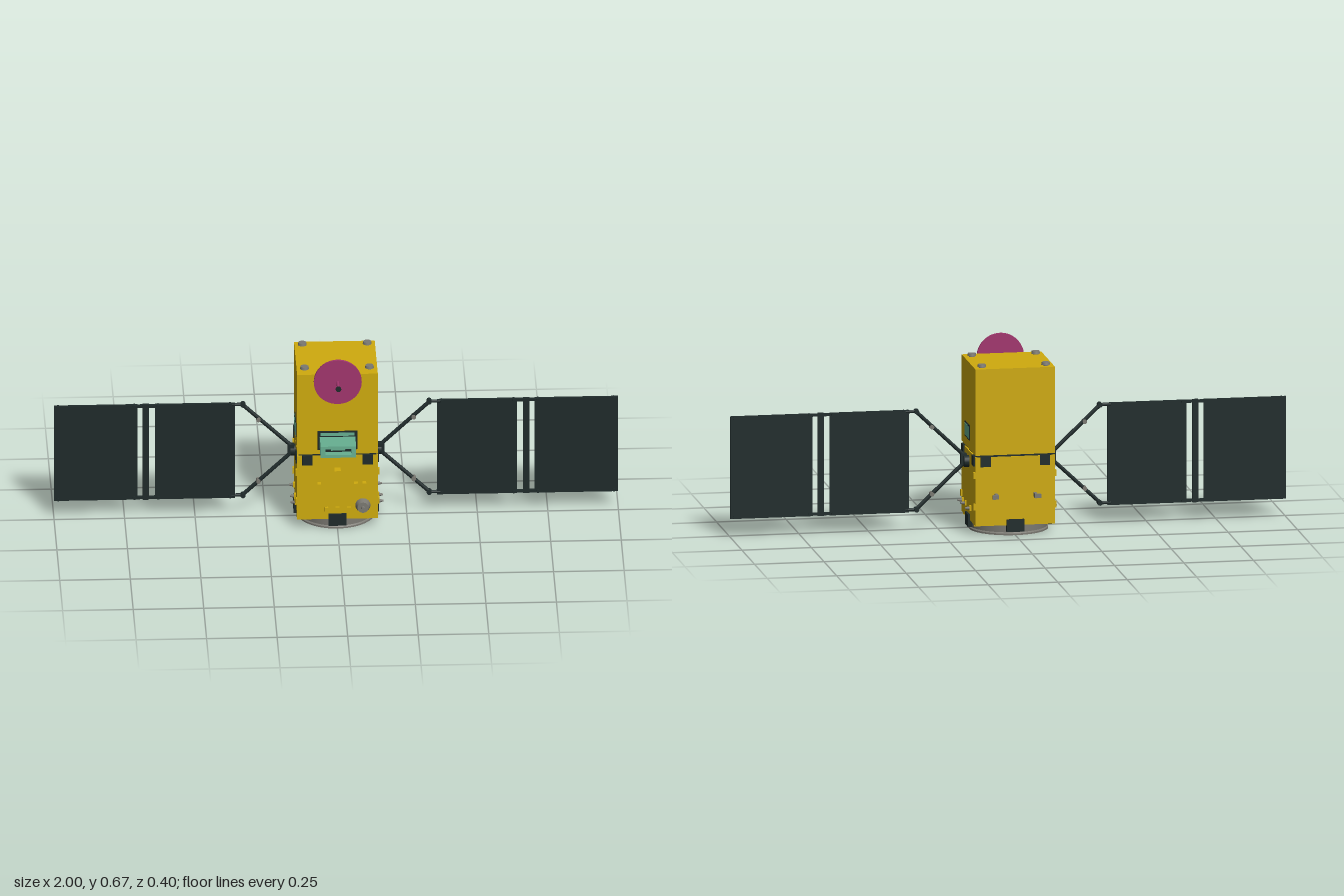
import * as THREE from 'three';

const mat = (name, color, side = THREE.FrontSide) => {
  const m = new THREE.MeshStandardMaterial({ color, side });
  m.name = name;
  return m;
};

export function createModel() {
  const root = new THREE.Group();
  root.name = 'satellite';
  const gold = mat('gold foil', 0xcfab0e);
  const dark = mat('dark panel', 0x1f2b2b);
  const pink = mat('magenta', 0xa2366e);
  const teal = mat('teal', 0x67b092);
  const gray = mat('gray metal', 0x7b7972, THREE.DoubleSide);
  const CZ = -0.026, HX = 0.143, HZ = 0.136, FRONT = CZ + HZ, BACK = CZ - HZ;

  const add = (name, geo, m, x = 0, y = 0, z = 0, parent = root) => {
    const mesh = new THREE.Mesh(geo, m);
    mesh.name = name;
    mesh.position.set(x, y, z);
    parent.add(mesh);
    return mesh;
  };
  const box = (name, m, w, h, d, x, y, z, parent) =>
    add(name, new THREE.BoxGeometry(w, h, d), m, x, y, z, parent);
  // cylinder along z, r1 at its +z end
  const cylZ = (name, m, r1, r2, len, x, y, z, parent) => {
    const g = new THREE.CylinderGeometry(r1, r2, len, 24).rotateX(Math.PI / 2);
    return add(name, g, m, x, y, z, parent);
  };
  // round bar between two points
  const bar = (name, m, a, b, r, parent) => {
    const A = new THREE.Vector3(...a), B = new THREE.Vector3(...b);
    const g = new THREE.CylinderGeometry(r, r, A.distanceTo(B), 10);
    const mesh = add(name, g, m, 0, 0, 0, parent);
    mesh.position.copy(A).add(B).multiplyScalar(0.5);
    mesh.quaternion.setFromUnitVectors(new THREE.Vector3(0, 1, 0), B.sub(A).normalize());
    return mesh;
  };

  // Body: two stacked foil boxes with a dark seam
  box('lowerBody', gold, HX * 2, 0.248, HZ * 2, 0, 0.16, CZ);
  box('bodySeam', dark, HX * 2 - 0.01, 0.012, HZ * 2 - 0.01, 0, 0.287, CZ);
  box('upperBody', gold, HX * 2, 0.312, HZ * 2, 0, 0.447, CZ);

  // Launch ring and engine dome underneath
  const ring = [[0.118, 0.037], [0.118, 0.008], [0.124, 0], [0.141, 0], [0.141, 0.006], [0.137, 0.01], [0.137, 0.037]];
  for (let i = 0; i < ring.length - 1; i++) {
    const pts = [ring[i], ring[i + 1]].map(p => new THREE.Vector2(...p));
    add('launchRing', new THREE.LatheGeometry(pts, 48), gray, 0, 0, CZ);
  }
  const dome = new THREE.SphereGeometry(0.07, 32, 10, 0, Math.PI * 2, Math.PI / 2, Math.PI / 2).scale(1, 0.35, 1);
  add('engineDome', dome, gray, 0, 0.036, CZ);

  // Corner feet on the roof
  for (const x of [-0.115, 0.115]) for (const z of [-0.132, 0.065]) {
    add('roofFootStem', new THREE.CylinderGeometry(0.01, 0.01, 0.006, 20), gray, x, 0.605, z);
    add('roofFoot', new THREE.CylinderGeometry(0.014, 0.016, 0.009, 20), gray, x, 0.611, z);
  }

  // Dish antenna
  cylZ('dishMount', dark, 0.006, 0.006, 0.026, 0, 0.585, 0.12);
  cylZ('dish', pink, 0.085, 0.085, 0.009, 0, 0.585, 0.134).geometry =
    new THREE.CylinderGeometry(0.085, 0.085, 0.009, 48).rotateX(Math.PI / 2);
  cylZ('feedRod', pink, 0.005, 0.005, 0.062, 0, 0.585, 0.167);
  cylZ('feedTip', dark, 0.01, 0.01, 0.006, 0, 0.585, 0.196);

  // Front instrument: dark recess and an open teal hood
  box('instrumentRecess', dark, 0.14, 0.072, 0.004, 0, 0.345, FRONT + 0.001);
  box('instrumentPlate', teal, 0.12, 0.012, 0.004, 0, 0.369, FRONT + 0.002);
  const hood = new THREE.Shape();
  hood.moveTo(-0.063, -0.022).lineTo(0.063, -0.022).lineTo(0.063, 0.022).lineTo(-0.063, 0.022).closePath();
  const slot = new THREE.Path();
  slot.moveTo(-0.046, -0.011).lineTo(-0.046, 0.011).lineTo(0.046, 0.011).lineTo(0.046, -0.011).closePath();
  hood.holes.push(slot);
  add('instrumentHood', new THREE.ExtrudeGeometry(hood, { depth: 0.083, bevelEnabled: false }), teal, 0, 0.337, FRONT);
  box('hoodInterior', dark, 0.092, 0.022, 0.004, 0, 0.337, 0.165);
  box('hoodLens', teal, 0.05, 0.009, 0.006, 0, 0.337, 0.168);

  // Lower front fittings
  box('frontSensor', gold, 0.022, 0.011, 0.029, 0, 0.231, FRONT + 0.0145);
  for (const x of [-0.065, 0.065, 0.095]) box('frontBlock', gold, 0.013, 0.02, 0.021, x, 0.172, FRONT + 0.01);
  for (const x of [-0.04, 0, 0.04]) box('frontClip', gold, 0.014, 0.018, 0.01, x, 0.075, FRONT + 0.004);
  cylZ('thrusterBase', gray, 0.02, 0.027, 0.022, 0.09, 0.088, FRONT + 0.011);
  cylZ('thrusterTip', gray, 0.007, 0.007, 0.014, 0.09, 0.088, FRONT + 0.028);

  // Rear hooks
  for (const s of [-1, 1]) {
    box('rearHookArm', gray, 0.01, 0.015, 0.036, s * 0.07, 0.145, BACK - 0.018);
    box('rearHookTip', gray, 0.02, 0.015, 0.008, s * 0.077, 0.145, BACK - 0.033);
  }

  // Dark brackets on the front and back
  for (const z of [FRONT, BACK]) {
    for (const x of [-0.107, 0.107]) box('seamBracket', dark, 0.036, 0.036, 0.01, x, 0.268, z);
    box('baseBracket', dark, 0.064, 0.045, 0.016, 0, 0.035, z);
  }

  // One side with its wing; the other is turned half round
  const HINGE_Z = -0.019;
  for (const s of [-1, 1]) {
    const side = new THREE.Group();
    side.name = s > 0 ? 'leftSide' : 'rightSide';
    root.add(side);
    const X = s * HX;

    // Side window
    box('windowFrame', dark, 0.006, 0.054, 0.096, X, 0.352, -0.01, side);
    box('window', teal, 0.008, 0.044, 0.085, X, 0.352, -0.01, side);

    // Side fittings
    for (const z of [0.078, -0.13]) {
      box('seamBracket', dark, 0.01, 0.036, 0.036, X, 0.268, z, side);
      box('ringTab', gold, 0.012, 0.008, 0.014, s * 0.137, 0.035, z, side);
    }
    box('baseBracket', dark, 0.016, 0.045, 0.064, X, 0.035, CZ, side);
    for (const z of [0.101, -0.153]) for (const y of [0.218, 0.105])
      box('sideLatch', gold, 0.012, 0.023, 0.014, X, y, z, side);
    for (const z of [0.069, 0.018, -0.075]) {
      box('sideClip', gold, 0.014, 0.018, 0.014, X, 0.085, z, side);
      const nozzle = new THREE.CylinderGeometry(0.003, 0.007, 0.016, 12).rotateZ(-s * Math.PI / 2);
      add('sideNozzle', nozzle, gray, X + s * 0.014, 0.085, z, side);
    }

    // Wing hinge
    const hub = new THREE.CylinderGeometry(0.02, 0.022, 0.02, 20).rotateZ(-s * Math.PI / 2);
    add('hingeHub', hub, dark, X + s * 0.008, 0.245, CZ, side);
    box('hingeBlock', dark, 0.022, 0.04, 0.018, s * 0.16, 0.252, HINGE_Z, side);

    // V-shaped yoke
    for (const [y0, y1, yn] of [[0.262, 0.43, 0.372], [0.242, 0.075, 0.13]]) {
      bar('yokeArm', dark, [s * 0.155, y0, HINGE_Z], [s * 0.332, y1, HINGE_Z], 0.007, side);
      bar('yokeLink', dark, [s * 0.325, y1, HINGE_Z], [s * 0.37, y1, HINGE_Z], 0.006, side);
      cylZ('yokeJoint', dark, 0.009, 0.009, 0.02, s * 0.33, y1, HINGE_Z, side);
      cylZ('yokeDamper', gray, 0.008, 0.008, 0.024, s * 0.275, yn, HINGE_Z, side);
    }

    // Panels, middle spar and its hinges
    for (const x of [0.5, 0.852]) {
      const w = x < 0.6 ? 0.284 : 0.296;
      box('solarPanel', dark, w, 0.37, 0.01, s * x, 0.251, HINGE_Z, side);
    }
    box('panelSpar', dark, 0.022, 0.372, 0.012, s * 0.674, 0.251, HINGE_Z, side);
    for (const y of [0.072, 0.43]) {
      box('panelHinge', dark, 0.075, 0.009, 0.012, s * 0.674, y, HINGE_Z, side);
      for (const x of [0.375, 0.63, 0.715, 0.985])
        cylZ('panelStud', dark, 0.006, 0.006, 0.018, s * x, y, HINGE_Z, side);
    }
  }
  return root;
}
